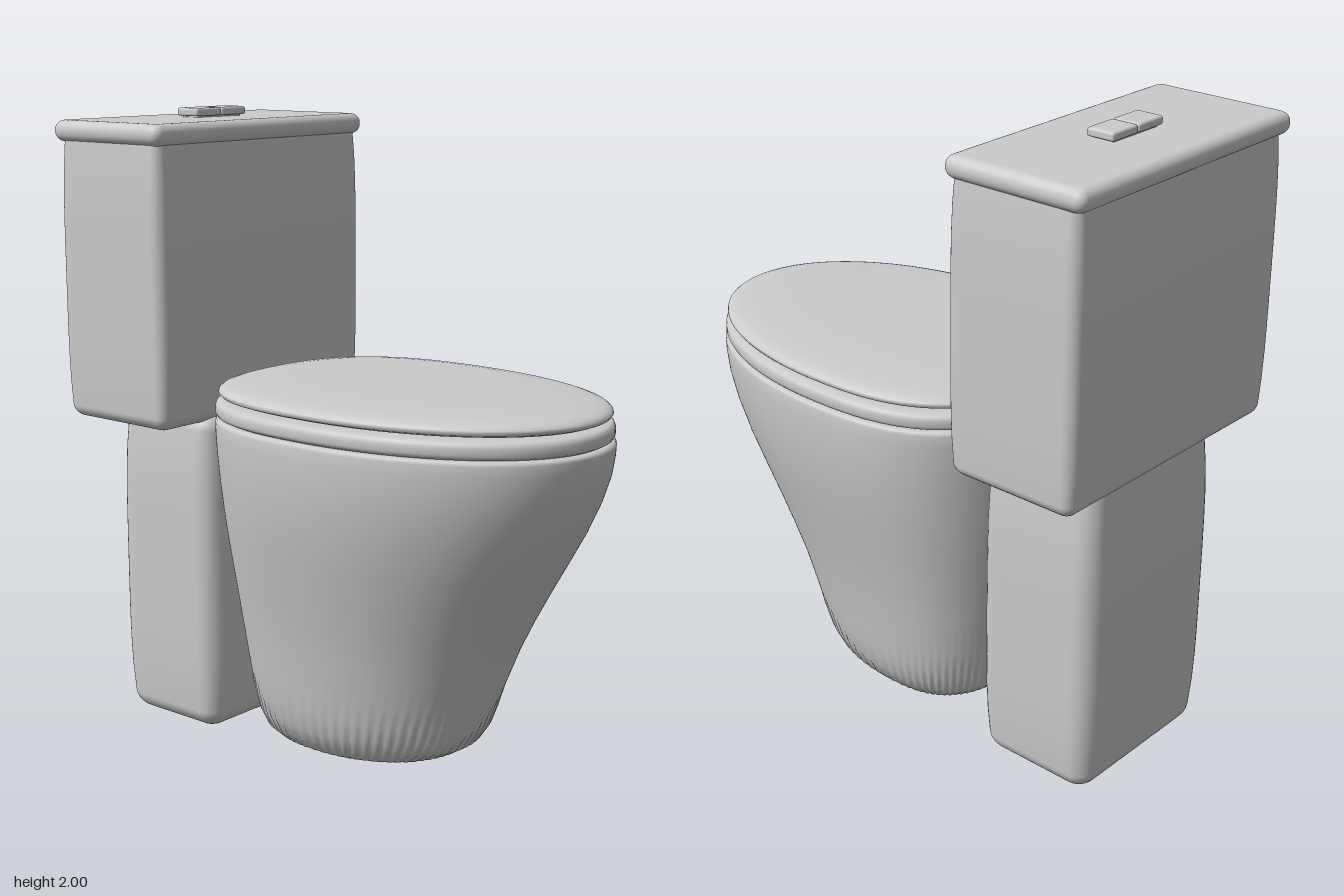
import * as THREE from 'three';

const material = new THREE.MeshStandardMaterial({ color: 0xcccccc, roughness: 0.6 });

// Skin a stack of closed [x, z] outlines (bottom to top) and close both ends.
function loft(name, rings) {
  const n = rings[0].points.length, pos = [], idx = [];
  for (const r of rings) for (const [x, z] of r.points) pos.push(x, r.y, z);
  for (let i = 0; i < rings.length - 1; i++) {
    for (let j = 0; j < n; j++) {
      const a = i * n + j, b = i * n + (j + 1) % n;
      idx.push(a, a + n, b, b, a + n, b + n);
    }
  }
  for (const [row, top] of [[0, false], [rings.length - 1, true]]) {
    const r = rings[row], c = pos.length / 3;
    const zs = r.points.map(p => p[1]);
    pos.push(0, r.y, (Math.min(...zs) + Math.max(...zs)) / 2);
    for (let j = 0; j < n; j++) {
      const a = row * n + j, b = row * n + (j + 1) % n;
      if (top) idx.push(c, b, a); else idx.push(c, a, b);
    }
  }
  const g = new THREE.BufferGeometry();
  g.setAttribute('position', new THREE.Float32BufferAttribute(pos, 3));
  g.setIndex(idx);
  g.computeVertexNormals();
  const mesh = new THREE.Mesh(g, material);
  mesh.name = name;
  return mesh;
}

// Egg outline: elliptical at the front, squarer at the back; optional fluting.
function egg(w, front, back, flute = 0, count = 288) {
  const mid = back + (front - back) * 0.42, points = [];
  for (let j = 0; j < count; j++) {
    const t = j / count * Math.PI * 2, c = Math.cos(t), s = Math.sin(t);
    const e = s > 0 ? 2 / 2.05 : 2 / 2.6;
    const k = 1 + flute * Math.cos(72 * t);
    const x = Math.sign(c) * Math.abs(c) ** e * w * k;
    const z = Math.sign(s) * Math.abs(s) ** e * (s > 0 ? front - mid : mid - back) * k;
    points.push([x, mid + z]);
  }
  return points;
}

// Rounded rectangle outline centred on (0, cz).
function roundRect(hx, hz, cz, r, steps = 8) {
  const points = [];
  [[1, 1], [-1, 1], [-1, -1], [1, -1]].forEach(([sx, sz], q) => {
    for (let i = 0; i <= steps; i++) {
      const t = (q + i / steps) * Math.PI / 2;
      points.push([sx * (hx - r) + r * Math.cos(t), cz + sz * (hz - r) + r * Math.sin(t)]);
    }
  });
  return points;
}

// Soft-edged box with sides that swell slightly in the middle.
function softBox(name, hx, z0, z1, y0, y1, { corner, bottom, top, swell = 0 }) {
  const rings = [], hz = (z1 - z0) / 2, cz = (z0 + z1) / 2;
  const add = (y, inset) => {
    const u = (y - y0) / (y1 - y0) * 2 - 1;
    const d = inset + swell * u ** 4;
    rings.push({ y, points: roundRect(hx - d, hz - d, cz, Math.max(corner - d * 0.7, 0.004)) });
  };
  const steps = 7;
  add(y0, bottom * 1.3);
  for (let i = 0; i <= steps; i++) {
    const t = i / steps * Math.PI / 2;
    add(y0 + bottom * (1 - Math.cos(t)), bottom * (1 - Math.sin(t)));
  }
  for (let i = 1; i < 10; i++) add(y0 + bottom + (y1 - y0 - bottom - top) * i / 10, 0);
  for (let i = 0; i <= steps; i++) {
    const t = i / steps * Math.PI / 2;
    add(y1 - top * (1 - Math.sin(t)), top * (1 - Math.cos(t)));
  }
  add(y1, top * 1.3);
  return loft(name, rings);
}

// Egg-shaped slab described by [y, inset] pairs.
function slab(name, w, front, back, profile) {
  return loft(name, profile.map(([y, d]) => ({ y, points: egg(w - d, front - d, back + d, 0, 128) })));
}

export function createModel() {
  const group = new THREE.Group();

  // Bowl: [y, half width, front z, back z, fluting]
  const bowl = [
    [0.004, 0.02, 0.08, 0.03, 0], [0.018, 0.13, 0.2, -0.09, 0], [0.034, 0.21, 0.3, -0.19, 0.005],
    [0.055, 0.255, 0.36, -0.235, 0.01], [0.09, 0.29, 0.415, -0.275, 0.011],
    [0.14, 0.313, 0.45, -0.298, 0.008], [0.2, 0.328, 0.475, -0.312, 0.004],
    [0.27, 0.34, 0.5, -0.325, 0], [0.4, 0.36, 0.555, -0.345, 0], [0.5, 0.38, 0.605, -0.357, 0],
    [0.6, 0.401, 0.66, -0.37, 0], [0.7, 0.423, 0.717, -0.381, 0], [0.8, 0.444, 0.773, -0.39, 0],
    [0.9, 0.46, 0.82, -0.398, 0], [0.98, 0.468, 0.848, -0.405, 0], [1.04, 0.47, 0.859, -0.409, 0],
    [1.073, 0.47, 0.861, -0.41, 0], [1.082, 0.466, 0.857, -0.406, 0],
    [1.085, 0.455, 0.846, -0.395, 0], [1.085, 0.43, 0.82, -0.37, 0],
  ];
  group.add(loft('bowl', bowl.map(([y, w, f, b, k]) => ({ y, points: egg(w, f, b, k) }))));

  // Seat ring and closed lid
  group.add(slab('seat', 0.466, 0.857, -0.412, [
    [1.084, 0.04], [1.087, 0.016], [1.093, 0.005], [1.103, 0], [1.122, 0],
    [1.133, 0.004], [1.139, 0.013], [1.141, 0.03], [1.141, 0.06],
  ]));
  group.add(slab('lid', 0.457, 0.85, -0.402, [
    [1.14, 0.12], [1.144, 0.06], [1.149, 0.025], [1.156, 0.006], [1.164, 0], [1.172, 0.002],
    [1.18, 0.012], [1.186, 0.03], [1.191, 0.07], [1.194, 0.14], [1.196, 0.25],
  ]));

  // Rear pedestal, cistern and its cover
  group.add(softBox('pedestal', 0.3, -0.8, -0.38, 0.012, 1.06,
    { corner: 0.07, bottom: 0.06, top: 0.05, swell: 0.02 }));
  group.add(softBox('cistern', 0.468, -0.848, -0.402, 1.035, 1.93,
    { corner: 0.04, bottom: 0.04, top: 0.01, swell: 0.011 }));
  group.add(softBox('cisternCover', 0.475, -0.862, -0.395, 1.903, 1.97,
    { corner: 0.03, bottom: 0.032, top: 0.03 }));

  // Two flush buttons side by side
  for (const side of [-1, 1]) {
    const button = softBox('flushButton', 0.0555, -0.677, -0.587, 1.975, 2,
      { corner: 0.008, bottom: 0.006, top: 0.008 });
    button.position.x = side * 0.0565;
    group.add(button);
  }
  const base = new THREE.Mesh(new THREE.BoxGeometry(0.19, 0.02, 0.07), material);
  base.name = 'buttonBase';
  base.position.set(0, 1.972, -0.632);
  group.add(base);

  return group;
}
